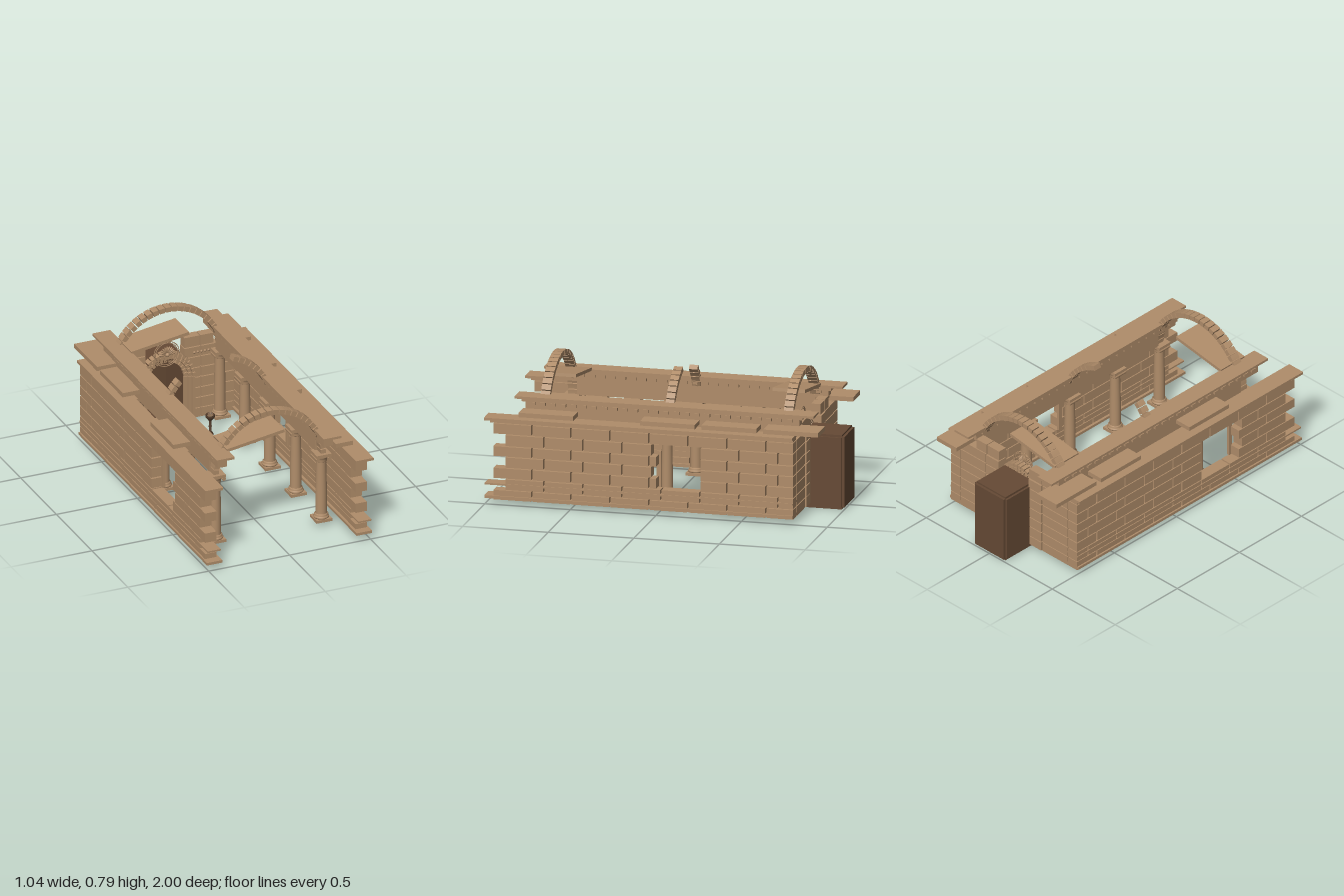
import * as THREE from 'three';
import { mergeGeometries } from 'three/addons/utils/BufferGeometryUtils.js';

const mat = (name, color) => {
  const m = new THREE.MeshStandardMaterial({ color });
  m.name = name;
  return m;
};

// Box given by its minimum and maximum on each axis
function box(x0, x1, y0, y1, z0, z1) {
  const a = Math.min(x0, x1), b = Math.max(x0, x1);
  return new THREE.BoxGeometry(b - a, y1 - y0, z1 - z0).translate((a + b) / 2, (y0 + y1) / 2, (z0 + z1) / 2);
}

// Arch of separate wedge stones between two angles
function voussoirs(cy, rIn, rOut, z0, z1, n, keep = () => true) {
  const out = [], step = Math.PI / n, gap = 0.003;
  for (let i = 0; i < n; i++) {
    const a = i * step, b = a + step;
    if (!keep((a + b) / 2)) continue;
    const s = new THREE.Shape();
    s.absarc(0, 0, rOut, a + gap / rOut, b - gap / rOut, false);
    s.absarc(0, 0, rIn, b - gap / rIn, a + gap / rIn, true);
    out.push(new THREE.ExtrudeGeometry(s, { depth: z1 - z0, bevelEnabled: false, curveSegments: 3 }).translate(0, cy, z0));
  }
  return out;
}

const lathe = (pts, n) => new THREE.LatheGeometry(pts.map(p => new THREE.Vector2(...p)), n);

export function createModel() {
  const root = new THREE.Group();
  root.name = 'ruinedHall';
  const stone = mat('sandstone', 0xb08d6a);
  const dark = mat('darkStone', 0x664a35);
  const bronze = mat('darkBronze', 0x5a4230);
  const add = (name, geos, m = stone, parent = root) => {
    const flat = geos.map(g => (g.index ? g.toNonIndexed() : g));
    const mesh = new THREE.Mesh(mergeGeometries(flat), m);
    mesh.name = name;
    parent.add(mesh);
    return mesh;
  };

  const courses = [[0.03, 0.085], [0.09, 0.15], [0.156, 0.214], [0.22, 0.279], [0.285, 0.341], [0.347, 0.41], [0.416, 0.475]];
  const columnZ = [0.70, 0.345, -0.02, -0.37, -0.72];

  // Long brick walls, each with a broken opening
  for (const s of [-1, 1]) {
    const side = s > 0 ? 'left' : 'right';
    const hole = s > 0 ? [-0.26, 0.0] : [0.2, 0.5];
    const bricks = [];
    courses.forEach(([y0, y1], i) => {
      const front = i % 2 === 0 ? 0.95 : 0.88;
      const len = 0.228;
      for (let z = front; z > -0.78; z -= len) {
        const end = Math.max(z - len + 0.009, -0.80);
        const open = i >= 2 && i <= 5;
        const cut = open && z > hole[0] && end < hole[1];
        if (!cut) bricks.push(box(s * 0.43, s * 0.5, y0, y1, end, z));
        else {
          if (z > hole[1] + 0.03) bricks.push(box(s * 0.43, s * 0.5, y0, y1, hole[1] + (i % 2) * 0.03, z));
          if (end < hole[0] - 0.03) bricks.push(box(s * 0.43, s * 0.5, y0, y1, end, hole[0] - (i % 2) * 0.03));
        }
      }
    });
    add(side + 'WallBricks', bricks);
    add(side + 'WallTrim', [
      box(s * 0.415, s * 0.51, 0.037, 0.053, -0.8, 1),
      box(s * 0.425, s * 0.505, 0.115, 0.125, -0.8, 1),
      box(s * 0.43, s * 0.5, 0.48, 0.495, -0.8, 0.97),
      box(s * 0.41, s * 0.52, 0.495, 0.51, -0.8, 1),
    ]);
    // Thin jambs beside the opening
    add(side + 'OpeningJambs', hole.map((z, i) => box(s * 0.42, s * 0.437, 0.15, 0.36, z - 0.012, z + 0.012)));

    // Loose coping slabs on the wall
    const slabs = s > 0 ? [[-0.58, -0.26], [-0.22, 0.1], [0.49, 0.81]] : [[-0.58, -0.26], [0.13, 0.45]];
    add(side + 'CopingSlabs', [
      box(s * 0.32, s * 0.475, 0.514, 0.54, -0.94, -0.62),
      ...slabs.map(([a, b]) => box(s * 0.37, s * 0.475, 0.514, 0.54, a, b)),
    ]);

    // Entablature over the colonnade
    const dentils = [];
    for (let z = -0.76; z < 0.8; z += 0.06) dentils.push(box(s * 0.285, s * 0.372, 0.56, 0.578, z, z + 0.03));
    add(side + 'Entablature', [
      box(s * 0.275, s * 0.385, 0.596, 0.61, -0.89, 0.855),
      box(s * 0.283, s * 0.365, 0.578, 0.596, -0.82, 0.82),
      box(s * 0.298, s * 0.357, 0.53, 0.578, -0.8, 0.8),
      box(s * 0.302, s * 0.353, 0.45, 0.53, -0.72, 0.67),
      ...dentils,
    ]);

    // Columns with round bases and scrolled capitals
    for (const z of columnZ) {
      const col = new THREE.Group();
      col.name = side + 'Column';
      col.position.set(s * 0.327, 0, z);
      root.add(col);
      add('columnShaft', [lathe([[0.036, 0.06], [0.033, 0.075], [0.033, 0.22], [0.029, 0.395], [0.033, 0.4]], 20)], stone, col);
      add('columnBase', [
        box(-0.048, 0.048, 0.025, 0.042, -0.048, 0.048),
        lathe([[0, 0.042], [0.044, 0.042], [0.046, 0.048], [0.043, 0.054], [0.038, 0.056], [0.041, 0.062], [0.036, 0.068], [0.03, 0.069]], 20),
      ], stone, col);
      const capital = [
        lathe([[0.029, 0.395], [0.034, 0.4], [0.031, 0.406], [0.035, 0.42], [0.044, 0.433], [0, 0.434]], 20),
        box(-0.046, 0.046, 0.432, 0.45, -0.046, 0.046),
      ];
      for (const a of [-1, 1]) {
        capital.push(new THREE.CylinderGeometry(0.011, 0.011, 0.086, 10).rotateX(Math.PI / 2).translate(a * 0.036, 0.421, 0));
      }
      add('columnCapital', capital, stone, col);
    }

    // Back wall blocks
    const blocks = [];
    for (const [y0, y1] of courses) {
      blocks.push(box(s * 0.12, s * 0.219, y0, y1, -0.805, -0.745));
      blocks.push(box(s * 0.225, s * 0.425, y0, y1, -0.8, -0.745));
    }
    blocks.push(box(s * 0.12, s * 0.213, 0.481, 0.543, -0.8, -0.745), box(s * 0.218, s * 0.3, 0.481, 0.543, -0.8, -0.745));
    add(side + 'BackWall', blocks);
    const beads = [];
    for (let x = 0.18; x < 0.43; x += 0.022) beads.push(new THREE.SphereGeometry(0.008, 8, 6).translate(s * x, 0.443, -0.742));
    add(side + 'BackWallBeads', beads);

    // Stepped door jambs beside the niche
    add(side + 'NicheJamb', [
      box(s * 0.113, s * 0.134, 0.025, 0.305, -0.76, -0.735),
      box(s * 0.137, s * 0.155, 0.025, 0.305, -0.76, -0.725),
      box(s * 0.158, s * 0.176, 0.025, 0.305, -0.76, -0.715),
    ]);

    // Standing brazier
    const brazier = new THREE.Group();
    brazier.name = side + 'Brazier';
    brazier.position.set(s * 0.18, 0, -0.52);
    root.add(brazier);
    add('brazierBowl', [lathe([[0, 0.025], [0.02, 0.025], [0.016, 0.037], [0.007, 0.05], [0.009, 0.08], [0.006, 0.11], [0.014, 0.122], [0.026, 0.137], [0.028, 0.152], [0.024, 0.152], [0.015, 0.135], [0, 0.133]], 14)], bronze, brazier);
    add('brazierFlame', [-0.012, 0, 0.012].map((x, i) => new THREE.ConeGeometry(0.007, 0.035, 6).translate(x, 0.148 + (i === 1 ? 0.006 : 0), 0)), stone, brazier);
  }

  // Great arches: whole ones at both ends, a broken one in the middle
  add('frontArch', voussoirs(0.44, 0.316, 0.346, 0.67, 0.725, 27));
  add('backArch', voussoirs(0.44, 0.316, 0.346, -0.75, -0.695, 27));
  add('brokenArch', voussoirs(0.44, 0.316, 0.346, 0.005 - 0.06, 0.05 - 0.055, 27, a => {
    const x = Math.cos(a) * 0.33;
    return x > 0.11 || x < -0.23;
  }).map(g => g.translate(0, 0, 0.055 - 0.055)));

  // Fallen roof slabs leaning across the hall
  for (const z of [0.672, -0.665]) {
    const slab = add('fallenSlab', [new THREE.BoxGeometry(0.36, 0.019, 0.19)]);
    slab.position.set(-0.106, 0.638, z);
    slab.rotation.z = 0.155;
  }

  // Niche surround of three stepped stone rings
  add('nicheArch', [
    ...voussoirs(0.305, 0.113, 0.134, -0.76, -0.735, 15),
    ...voussoirs(0.305, 0.137, 0.155, -0.76, -0.725, 17),
    ...voussoirs(0.305, 0.158, 0.178, -0.76, -0.715, 19),
  ]);

  // Dark niche box, open to the front
  add('nicheChamber', [
    box(-0.113, 0.113, 0, 0.02, -0.985, -0.73),
    box(-0.113, 0.113, 0.42, 0.435, -0.985, -0.735),
    box(-0.115, 0.115, 0.012, 0.425, -1, -0.985),
    box(-0.126, -0.112, 0.015, 0.422, -0.985, -0.75),
    box(0.112, 0.126, 0.015, 0.422, -0.985, -0.75),
  ], dark);

  // Fan crest with double ring above the niche
  const petals = [];
  for (let i = 0; i < 11; i++) {
    const a = (i - 5) * 0.3;
    petals.push(new THREE.SphereGeometry(1, 8, 6).scale(0.0065, 0.022, 0.007).translate(0, 0.03, 0).rotateZ(a).translate(0, 0.478, -0.715));
  }
  petals.push(new THREE.SphereGeometry(0.013, 10, 8).translate(0, 0.478, -0.712));
  add('fanCrest', petals);
  add('crestRings', [0.078, 0.068].map(r => new THREE.TorusGeometry(r, 0.0025, 6, 40).translate(0, 0.478, -0.725)));

  // Altar with rosette
  add('altar', [
    box(-0.113, 0.113, 0.022, 0.036, -0.562, -0.42),
    box(-0.105, 0.105, 0.036, 0.052, -0.555, -0.427),
    box(-0.08, 0.08, 0.052, 0.1, -0.545, -0.437),
    box(-0.095, 0.095, 0.098, 0.108, -0.55, -0.43),
    box(-0.122, 0.122, 0.108, 0.114, -0.565, -0.42),
    box(-0.107, 0.107, 0.114, 0.121, -0.55, -0.432),
  ]);
  const rosette = [];
  for (let i = 0; i < 8; i++) {
    rosette.push(new THREE.SphereGeometry(1, 6, 5).scale(0.004, 0.009, 0.004).translate(0, 0.01, 0).rotateZ(i * Math.PI / 4).translate(0, 0.078, -0.436));
  }
  add('altarRosette', rosette);

  return root;
}
